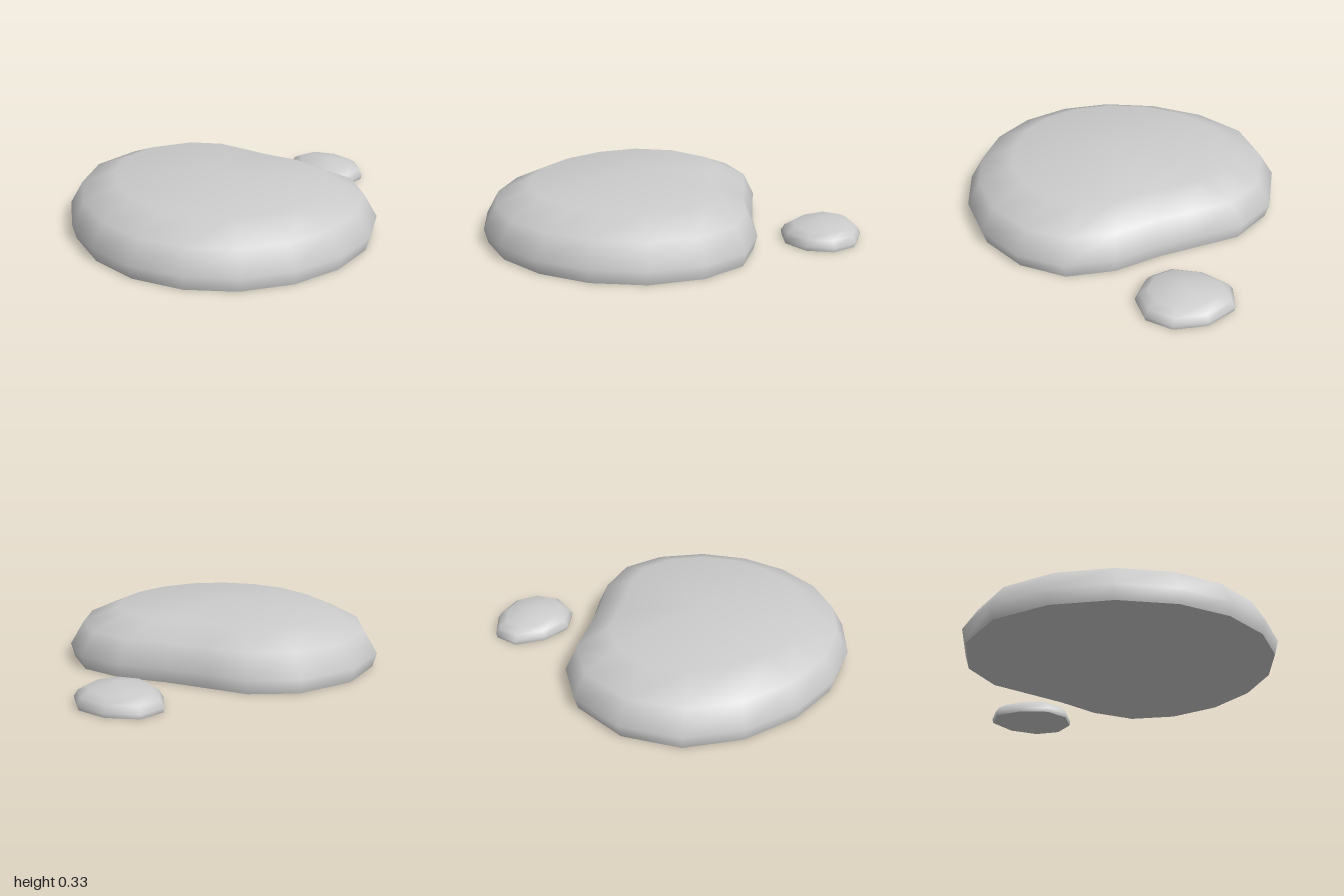
import * as THREE from 'three';

const material = new THREE.MeshStandardMaterial({ color: 0xcccccc });

// Flat-bottomed pebble: an outline [x, z] scaled about its centre at each [scale, y] level
function createPebble(name, outline, [cx, cz], levels, topY) {
  const n = outline.length;
  const positions = [];
  const index = [];
  const addRing = (scale, y) => {
    for (const [x, z] of outline) {
      positions.push(cx + (x - cx) * scale, y, cz + (z - cz) * scale);
    }
  };

  // Rounded side
  levels.forEach(([scale, y]) => addRing(scale, y));
  for (let r = 0; r < levels.length - 1; r++) {
    for (let i = 0; i < n; i++) {
      const a = r * n + i;
      const b = r * n + (i + 1) % n;
      index.push(b, a, a + n, b, a + n, b + n);
    }
  }

  // Shallow domed top
  const lastRing = (levels.length - 1) * n;
  const apex = levels.length * n;
  positions.push(cx, topY, cz);
  for (let i = 0; i < n; i++) index.push(apex, lastRing + (i + 1) % n, lastRing + i);

  // Flat underside with its own vertices for a sharp rim
  const base = apex + 1;
  addRing(levels[0][0], 0);
  positions.push(cx, 0, cz);
  for (let i = 0; i < n; i++) index.push(base + n, base + i, base + (i + 1) % n);

  const geometry = new THREE.BufferGeometry();
  geometry.setAttribute('position', new THREE.Float32BufferAttribute(positions, 3));
  geometry.setIndex(index);
  geometry.computeVertexNormals();
  const mesh = new THREE.Mesh(geometry, material);
  mesh.name = name;
  return mesh;
}

export function createModel() {
  const group = new THREE.Group();
  group.name = 'pebbles';

  // Large pebble with a flattened back corner
  const largeOutline = [
    [-0.33, -0.72], [-0.05, -0.7], [0.16, -0.57], [0.37, -0.44], [0.62, -0.32], [0.82, -0.13],
    [0.885, 0.14], [0.83, 0.44], [0.67, 0.7], [0.44, 0.89], [0.16, 0.995], [-0.13, 0.995],
    [-0.41, 0.89], [-0.64, 0.69], [-0.81, 0.4], [-0.89, 0.06], [-0.85, -0.28], [-0.65, -0.56],
  ];
  group.add(createPebble('largePebble', largeOutline, [-0.02, 0.15],
    [[0.975, 0], [1, 0.08], [0.915, 0.21], [0.69, 0.295]], 0.33));

  // Small pebble beside that corner
  const smallOutline = [
    [0.52, -1], [0.7, -0.955], [0.83, -0.825], [0.85, -0.67], [0.76, -0.545],
    [0.61, -0.505], [0.47, -0.57], [0.395, -0.73], [0.4, -0.91],
  ];
  group.add(createPebble('smallPebble', smallOutline, [0.62, -0.74],
    [[0.975, 0], [1, 0.025], [0.91, 0.06], [0.72, 0.088]], 0.122));

  return group;
}
